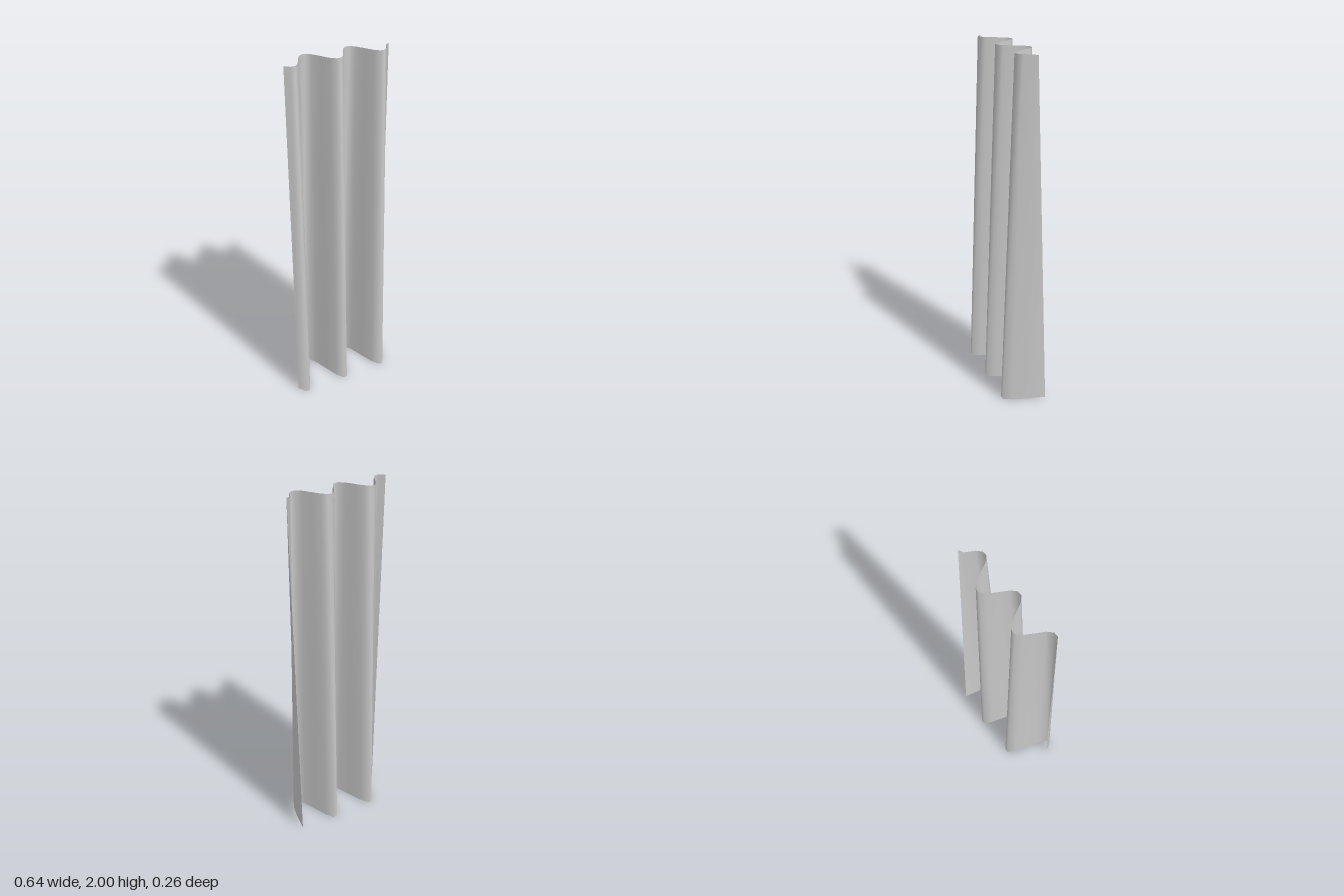
import * as THREE from 'three';

const COLUMNS = 25;   // 2.5 folds, ten strips per fold
const WIDTH = 0.642;
const HEIGHT = 2;

// Depth of half a fold, from its front crest to its back crest
const HEM = [0.128, 0.081, 0, -0.081, -0.128];
const HEADING = [0.051, 0.026, -0.02, -0.065, -0.09];

function foldDepth(levels, column) {
  const phase = (column - 1.5 + 10) % 10;
  return levels[Math.floor(Math.min(phase, 10 - phase))];
}

export function createModel() {
  const group = new THREE.Group();
  group.name = 'curtain';

  // A flat sheet pushed into folds, deep at the hem and gathered at the top
  const geometry = new THREE.PlaneGeometry(WIDTH, HEIGHT, COLUMNS, 1);
  geometry.translate(0, HEIGHT / 2, 0);
  const position = geometry.attributes.position;
  for (let i = 0; i < position.count; i++) {
    const column = i % (COLUMNS + 1);
    const isTop = i <= COLUMNS;
    let z = foldDepth(isTop ? HEADING : HEM, column);
    // The free left edge flares further back at the hem
    if (column === COLUMNS) z = isTop ? -0.034 : -0.108;
    position.setZ(i, z);
  }
  geometry.computeVertexNormals();

  const cloth = new THREE.Mesh(
    geometry,
    new THREE.MeshStandardMaterial({ color: 0xcccccc, side: THREE.DoubleSide })
  );
  cloth.name = 'pleatedCloth';
  group.add(cloth);
  return group;
}
